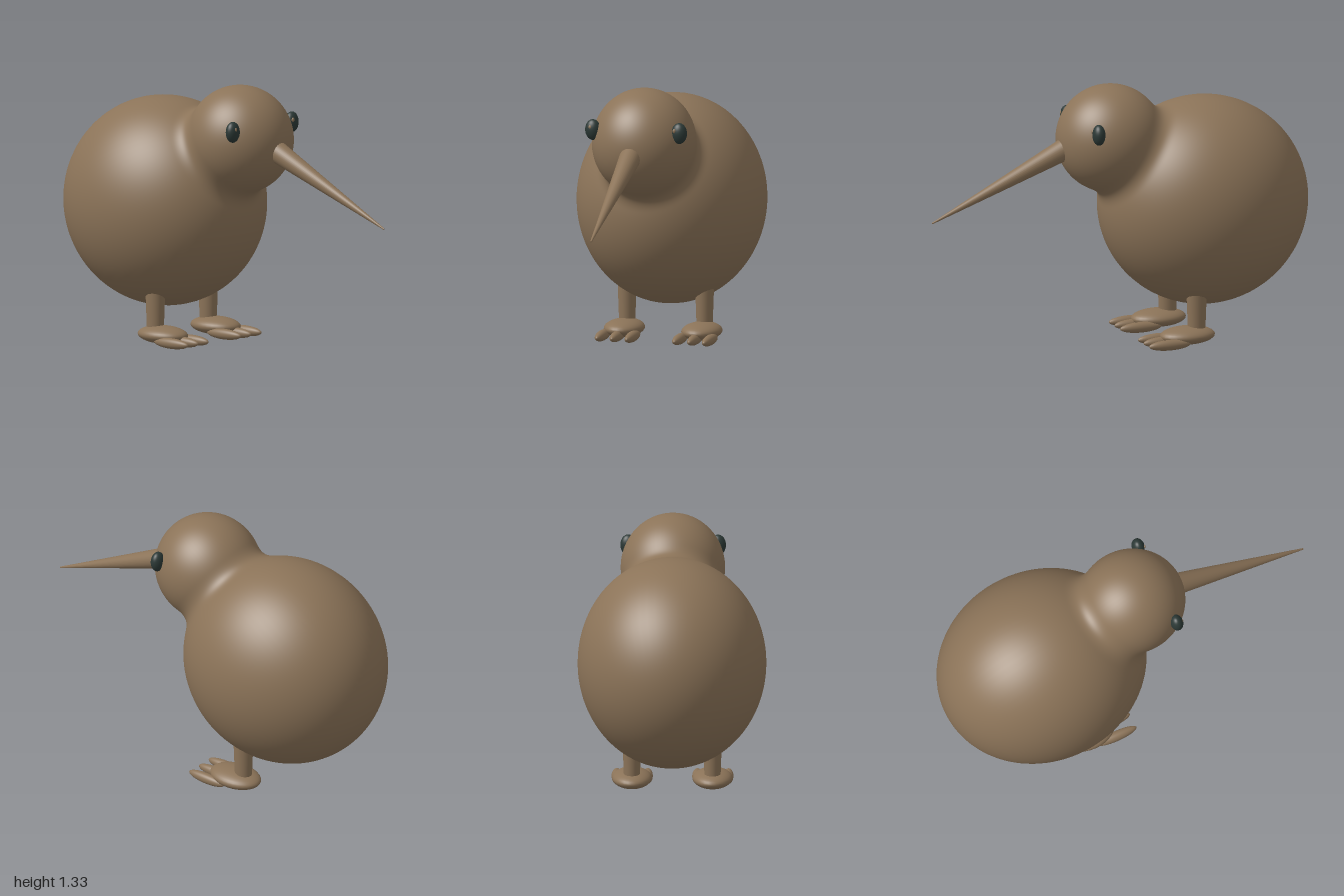
import * as THREE from 'three';
import { mergeVertices } from 'three/addons/utils/BufferGeometryUtils.js';

const brown = new THREE.MeshStandardMaterial({ color: 0x8b7358 });
brown.name = 'featherBrown';
const dark = new THREE.MeshStandardMaterial({ color: 0x2b3835 });
dark.name = 'eyeDark';

const HEAD = { c: new THREE.Vector3(0, 1.06, 0.04), r: new THREE.Vector3(0.263, 0.275, 0.275) };
const BODY = { c: new THREE.Vector3(0, 0.7, -0.46), r: new THREE.Vector3(0.475, 0.532, 0.54) };

// Approximate distance from p to an ellipsoid
function distance(p, { c, r }) {
  const q = p.clone().sub(c).divide(r);
  const k = q.length();
  return k < 1e-6 ? -Math.min(r.x, r.y, r.z) : (k * (k - 1)) / q.divide(r).length();
}

// Head and body blended together with a soft fillet at the neck
function field(p) {
  const a = distance(p, HEAD), b = distance(p, BODY), k = 0.08;
  const h = Math.max(k - Math.abs(a - b), 0) / k;
  return Math.min(a, b) - (h * h * k) / 4;
}

// A sphere whose points are pushed outwards from the neck to the blended surface
function bodyGeometry() {
  const neck = new THREE.Vector3(0, 0.944, -0.122);
  let geo = new THREE.SphereGeometry(1, 80, 120);
  geo.deleteAttribute('uv');
  geo.deleteAttribute('normal');
  geo = mergeVertices(geo, 1e-5);
  const axis = HEAD.c.clone().sub(BODY.c).normalize();
  geo.applyQuaternion(new THREE.Quaternion().setFromUnitVectors(new THREE.Vector3(0, 1, 0), axis));
  const pos = geo.attributes.position, dir = new THREE.Vector3(), p = new THREE.Vector3();
  for (let i = 0; i < pos.count; i++) {
    dir.fromBufferAttribute(pos, i).normalize();
    let lo = 0, hi = 1.5;
    for (let n = 0; n < 24; n++) {
      const mid = (lo + hi) / 2;
      if (field(p.copy(neck).addScaledVector(dir, mid)) < 0) lo = mid; else hi = mid;
    }
    p.copy(neck).addScaledVector(dir, lo);
    pos.setXYZ(i, p.x, p.y, p.z);
  }
  geo.computeVertexNormals();
  return geo;
}

function add(parent, name, geo, mat, x = 0, y = 0, z = 0) {
  const mesh = new THREE.Mesh(geo, mat);
  mesh.name = name;
  mesh.position.set(x, y, z);
  parent.add(mesh);
  return mesh;
}

const ellipsoid = (rx, ry, rz) => new THREE.SphereGeometry(1, 32, 20).scale(rx, ry, rz);

export function createModel() {
  const model = new THREE.Group();
  model.name = 'bird';
  add(model, 'bodyAndHead', bodyGeometry(), brown);

  // Long tapering beak, sloping down
  const base = new THREE.Vector3(0, 1.06, 0.2), tip = new THREE.Vector3(0, 0.7, 0.998);
  const along = tip.clone().sub(base);
  const beak = add(model, 'beak', new THREE.CylinderGeometry(0.004, 0.062, along.length(), 32), brown);
  beak.position.copy(base).add(tip).multiplyScalar(0.5);
  beak.quaternion.setFromUnitVectors(new THREE.Vector3(0, 1, 0), along.normalize());

  for (const [side, s] of [['left', 1], ['right', -1]]) {
    // Eye with a small glint
    add(model, side + 'Eye', ellipsoid(0.04, 0.053, 0.032), dark, s * 0.226, 1.137, 0.186);
    add(model, side + 'EyeGlint', ellipsoid(0.009, 0.011, 0.006), brown, s * 0.22 - 0.013, 1.152, 0.212);

    // Leg, foot and three toes
    const leg = new THREE.Group();
    leg.name = side + 'Leg';
    leg.position.x = s * 0.203;
    model.add(leg);
    add(leg, 'shank', new THREE.CylinderGeometry(0.049, 0.04, 0.26, 32).scale(1, 1, 1.1), brown, 0, 0.19, -0.35);
    add(leg, 'foot', ellipsoid(0.1, 0.045, 0.144), brown, 0, 0.055, -0.3);
    for (const x of [-0.078, 0, 0.078]) {
      add(leg, 'toe', ellipsoid(0.026, 0.027, 0.112), brown, x, 0.03, -0.176);
    }
  }
  return model;
}
